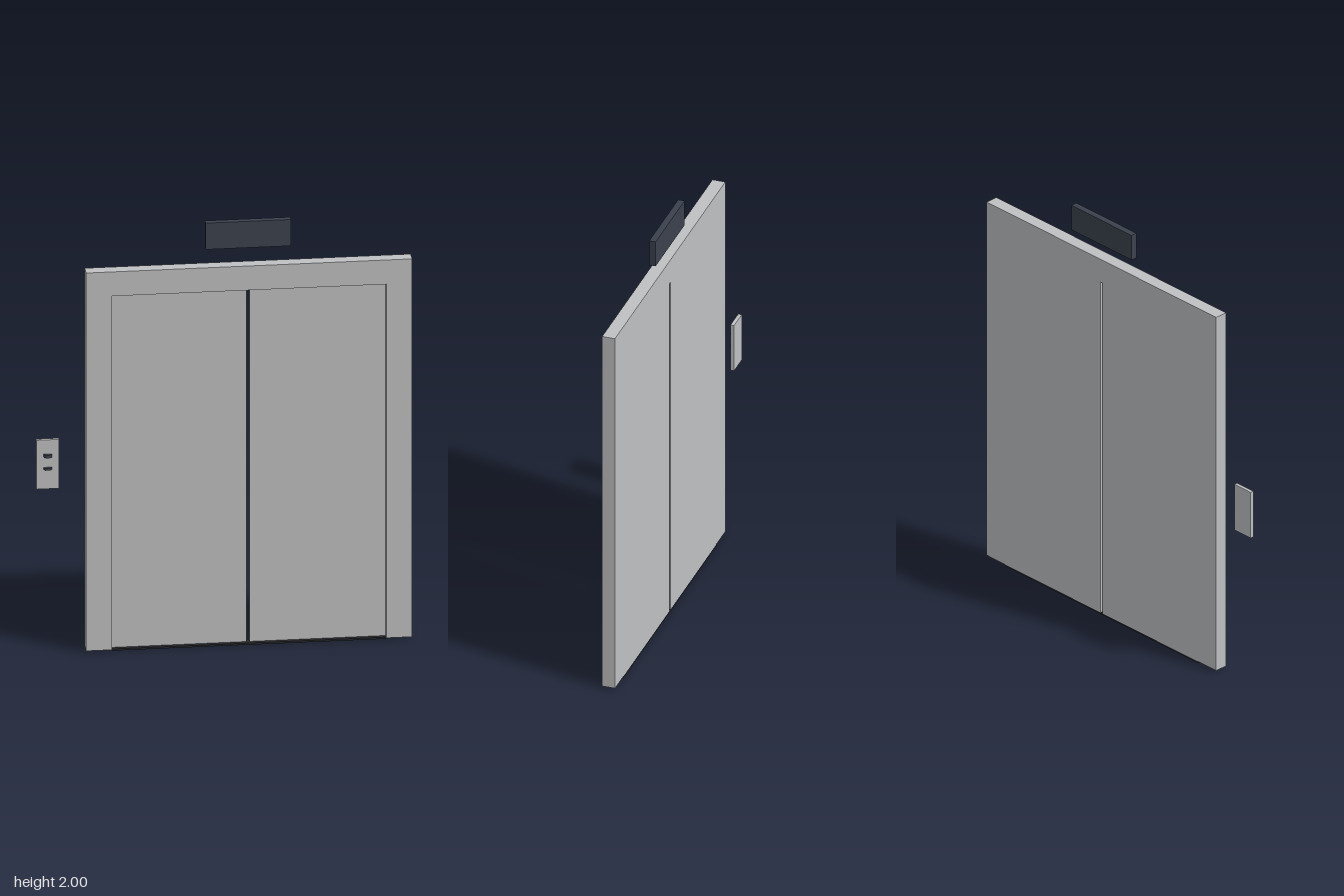
import * as THREE from 'three';

const mat = (name, color) => {
  const m = new THREE.MeshStandardMaterial({ color });
  m.name = name;
  return m;
};

export function createModel() {
  const steel = mat('brushed steel', 0xbfc0c1);
  const slate = mat('dark slate', 0x3b414d);
  const black = mat('sill black', 0x26272a);
  const group = new THREE.Group();

  // Box given by its limits on each axis
  const box = (name, m, [x0, x1], [y0, y1], [z0, z1]) => {
    const mesh = new THREE.Mesh(new THREE.BoxGeometry(x1 - x0, y1 - y0, z1 - z0), m);
    mesh.position.set((x0 + x1) / 2, (y0 + y1) / 2, (z0 + z1) / 2);
    mesh.name = name;
    group.add(mesh);
  };

  // Door surround: one extruded arch of two jambs and a header
  const arch = new THREE.Shape();
  [[-0.62, 0.008], [-0.505, 0.008], [-0.505, 1.685], [0.715, 1.685],
    [0.715, 0.008], [0.83, 0.008], [0.83, 1.8], [-0.62, 1.8]]
    .forEach(([x, y], i) => (i ? arch.lineTo(x, y) : arch.moveTo(x, y)));
  const frame = new THREE.Mesh(
    new THREE.ExtrudeGeometry(arch, { depth: 0.06, bevelEnabled: false }), steel);
  frame.position.z = -0.03;
  frame.name = 'doorFrame';
  group.add(frame);

  // Sliding doors, recessed from the front, with an open slit between them
  box('rightDoor', steel, [-0.505, 0.097], [0.008, 1.685], [-0.03, 0]);
  box('leftDoor', steel, [0.111, 0.715], [0.008, 1.685], [-0.03, 0]);

  // Threshold and floor display
  box('sill', black, [-0.505, 0.715], [0, 0.008], [-0.03, 0.02]);
  box('floorDisplay', slate, [-0.085, 0.295], [1.875, 2], [-0.03, 0]);

  // Call panel with two half-round buttons
  box('callPanel', steel, [-0.837, -0.735], [0.768, 1], [-0.03, -0.013]);
  for (const [name, y, h] of [['upButton', 0.926, 0.014], ['downButton', 0.866, 0.009]]) {
    const button = new THREE.Mesh(
      new THREE.CylinderGeometry(0.018, 0.018, h, 20, 1, false, -Math.PI / 2, Math.PI), slate);
    button.position.set(-0.786, y, -0.013);
    button.name = name;
    group.add(button);
  }
  return group;
}
